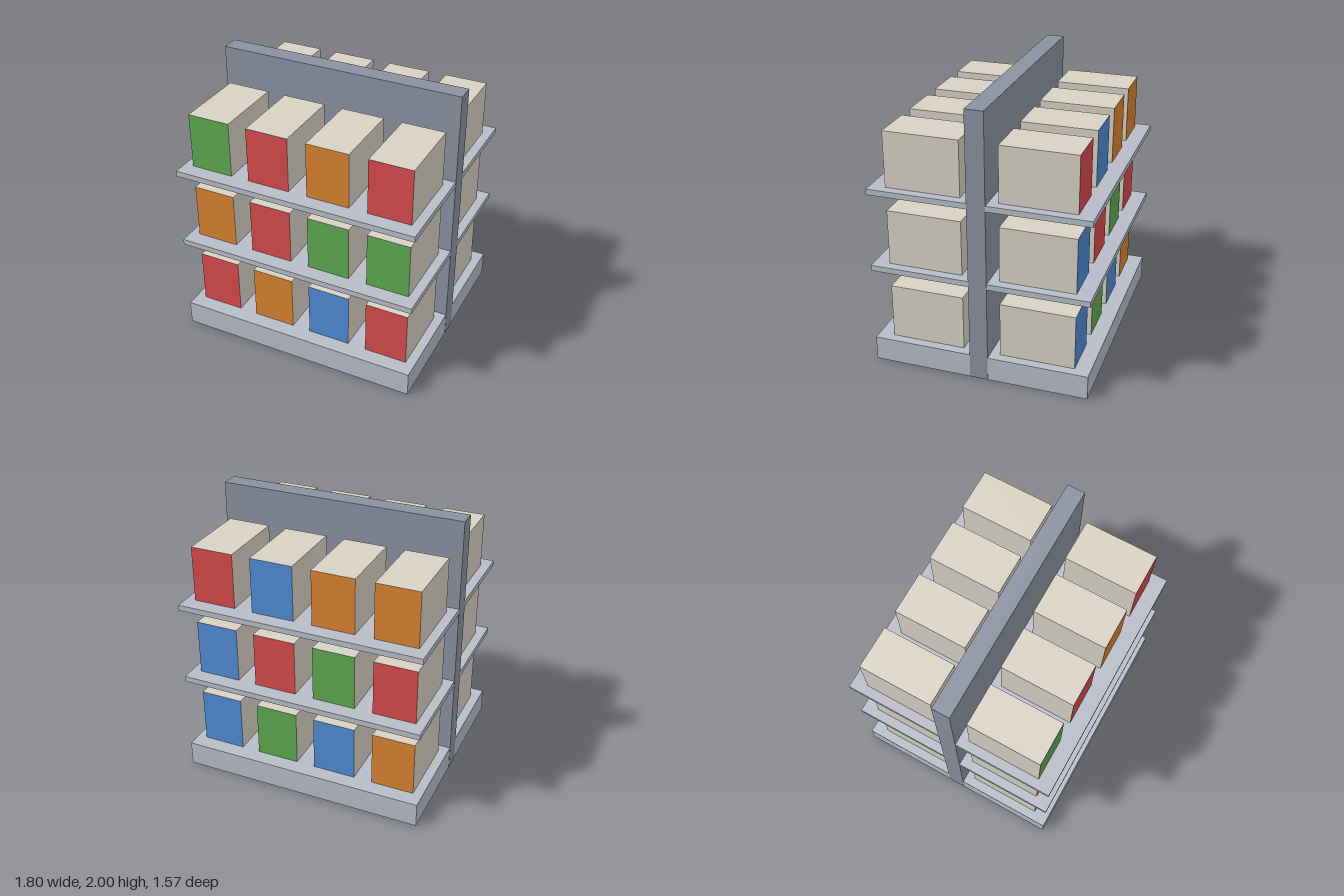
import * as THREE from 'three';

const mat = (name, color) => {
  const m = new THREE.MeshStandardMaterial({ color });
  m.name = name;
  return m;
};

export function createModel() {
  const wallGrey = mat('wallGrey', 0x8a92a0);
  const shelfGrey = mat('shelfGrey', 0xb8bcc8);
  const carton = mat('carton', 0xd8d2c4);
  const labels = {
    R: mat('redLabel', 0xd64a4a),
    O: mat('orangeLabel', 0xd98230),
    G: mat('greenLabel', 0x5ea850),
    B: mat('blueLabel', 0x4f8ad4),
  };

  const group = new THREE.Group();
  group.name = 'doubleSidedShelf';
  const addBox = (name, [w, h, d], [x, bottom, z], material) => {
    const mesh = new THREE.Mesh(new THREE.BoxGeometry(w, h, d), material);
    mesh.name = name;
    mesh.position.set(x, bottom + h / 2, z);
    group.add(mesh);
  };

  // Base, shelves and divider; the divider stands a hair proud to avoid coplanar faces
  addBox('base', [1.796, 0.18, 1.574], [0, 0, 0], shelfGrey);
  addBox('lowerShelf', [1.796, 0.042, 1.574], [0, 0.726, 0], shelfGrey);
  addBox('upperShelf', [1.796, 0.042, 1.574], [0, 1.308, 0], shelfGrey);
  addBox('dividerWall', [1.799, 1.999, 0.132], [0, 0.001, 0], wallGrey);

  // Label colours of each tier from -x to +x, bottom tier first
  const columns = [-0.673, -0.225, 0.225, 0.673];
  const tiers = [
    { y: 0.18, front: 'ROBR', back: 'OBGB' },
    { y: 0.768, front: 'ORGG', back: 'RGRB' },
    { y: 1.35, front: 'GROR', back: 'OOBR' },
  ];

  // Cartons with only the outward face coloured
  for (const tier of tiers) {
    for (const side of ['front', 'back']) {
      const sign = side === 'front' ? 1 : -1;
      columns.forEach((x, i) => {
        const faces = Array(6).fill(carton);
        faces[sign > 0 ? 4 : 5] = labels[tier[side][i]];
        addBox(side + 'Carton', [0.314, 0.407, 0.54], [x, tier.y, sign * 0.405], faces);
      });
    }
  }
  return group;
}
